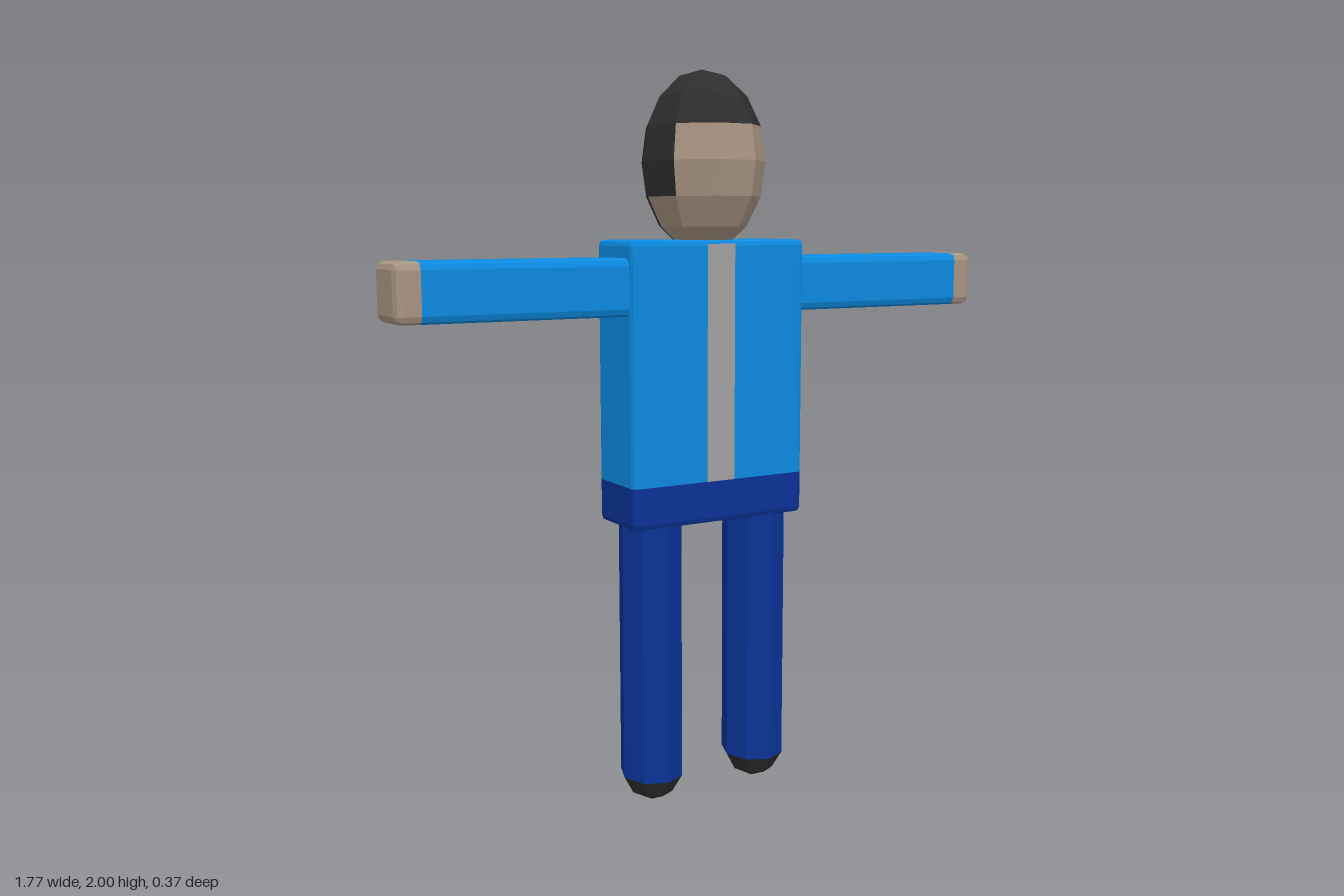
import * as THREE from 'three';

const COLORS = {
  jacket: 0x0c8ae0, trousers: 0x0a3296, skin: 0xa89482,
  zip: 0xa0a0a0, hair: 0x2e2e2e, shoe: 0x2e2e2e,
};
const materials = {};
for (const [key, color] of Object.entries(COLORS)) {
  materials[key] = new THREE.MeshStandardMaterial({ color, flatShading: true });
}

function addMesh(parent, name, geometry, color) {
  const flat = geometry.index ? geometry.toNonIndexed() : geometry;
  flat.computeVertexNormals();
  const mesh = new THREE.Mesh(flat, materials[color]);
  mesh.name = name;
  parent.add(mesh);
  return mesh;
}

// Skin a stack of rings [[x, z], ...] placed at the given heights, with both ends closed
function loft(heights, rings) {
  const p = [];
  const n = rings[0].length;
  const at = (i, j) => [rings[i][j % n][0], heights[i], rings[i][j % n][1]];
  const last = heights.length - 1;
  for (let j = 0; j < n; j++) {
    for (let i = 0; i < last; i++) {
      p.push(...at(i, j), ...at(i + 1, j), ...at(i + 1, j + 1));
      p.push(...at(i, j), ...at(i + 1, j + 1), ...at(i, j + 1));
    }
    p.push(0, heights[0], 0, ...at(0, j), ...at(0, j + 1));
    p.push(0, heights[last], 0, ...at(last, j + 1), ...at(last, j));
  }
  const geometry = new THREE.BufferGeometry();
  geometry.setAttribute('position', new THREE.Float32BufferAttribute(p, 3));
  return geometry;
}

// Rounded rectangle outline, half sizes w and d, corner radius r, shrunk by inset
function roundedRing(w, d, r, inset = 0) {
  const points = [];
  for (let q = 0; q < 4; q++) {
    const sx = q === 0 || q === 3 ? 1 : -1;
    const sz = q < 2 ? 1 : -1;
    for (let k = 0; k <= 2; k++) {
      const a = (q + k / 2) * Math.PI / 2;
      points.push([sx * (w - r) + (r - inset) * Math.cos(a), sz * (d - r) + (r - inset) * Math.sin(a)]);
    }
  }
  return points;
}

// Bar with rounded long edges; stations are [height, inset]
function roundedBar(w, d, r, stations) {
  return loft(stations.map((s) => s[0]), stations.map((s) => roundedRing(w, d, r, s[1])));
}

// Eight-sided oval post; stations are [height, scale]
function post(stations) {
  const rings = stations.map(([, s]) => Array.from({ length: 8 }, (_, j) => {
    const a = j * Math.PI / 4;
    return [0.085 * s * Math.cos(a), 0.096 * s * Math.sin(a)];
  }));
  return loft(stations.map((s) => s[0]), rings);
}

// Patch of a 9-sided, 8-row egg, measured in columns and rows
function headPatch(startDegrees, columns, row, rows) {
  const geometry = new THREE.SphereGeometry(1, columns, rows,
    THREE.MathUtils.degToRad(startDegrees), columns * Math.PI * 2 / 9,
    row * Math.PI / 8, rows * Math.PI / 8);
  geometry.scale(0.163, 0.24, 0.19);
  return geometry;
}

export function createModel() {
  const model = new THREE.Group();
  model.name = 'figure';

  // Head: face and jaw, framed by hair
  const head = new THREE.Group();
  head.name = 'head';
  head.position.y = 1.76;
  model.add(head);
  addMesh(head, 'face', headPatch(30, 3, 3, 2), 'skin');
  addMesh(head, 'jaw', headPatch(-10, 5, 5, 3), 'skin');
  addMesh(head, 'hairTop', headPatch(30, 9, 0, 3), 'hair');
  addMesh(head, 'hairBack', headPatch(150, 6, 3, 2), 'hair');
  addMesh(head, 'hairNape', headPatch(190, 4, 5, 3), 'hair');

  // Torso: jacket above trouser waist
  addMesh(model, 'jacket', roundedBar(0.267, 0.1, 0.015,
    [[0.91, 0], [1.54, 0], [1.551, 0.004], [1.555, 0.015]]), 'jacket');
  addMesh(model, 'waist', roundedBar(0.267, 0.1, 0.015,
    [[0.795, 0.015], [0.799, 0.004], [0.81, 0], [0.91, 0]]), 'trousers');
  const zip = addMesh(model, 'jacketZip', new THREE.BoxGeometry(0.084, 0.635, 0.004), 'zip');
  zip.position.set(0, 1.2275, 0.1);

  for (const [side, sign] of [['left', 1], ['right', -1]]) {
    // Arm stretched sideways, ending in a blocky hand
    const arm = new THREE.Group();
    arm.name = side + 'Arm';
    arm.position.set(0, 1.435, 0.007);
    arm.rotation.z = -sign * Math.PI / 2;
    model.add(arm);
    addMesh(arm, side + 'Sleeve', roundedBar(0.075, 0.077, 0.02, [[0.25, 0], [0.82, 0]]), 'jacket');
    addMesh(arm, side + 'Hand', roundedBar(0.075, 0.077, 0.02,
      [[0.82, 0], [0.865, 0], [0.879, 0.006], [0.885, 0.02]]), 'skin');

    // Leg with a rounded shoe tip
    const leg = new THREE.Group();
    leg.name = side + 'Leg';
    leg.position.set(sign * 0.167, 0, 0.003);
    model.add(leg);
    addMesh(leg, side + 'Trouser', post([[0.08, 1], [0.81, 1]]), 'trousers');
    addMesh(leg, side + 'Shoe', post([[0, 0.04], [0.03, 0.68], [0.08, 1]]), 'shoe');
  }
  return model;
}
